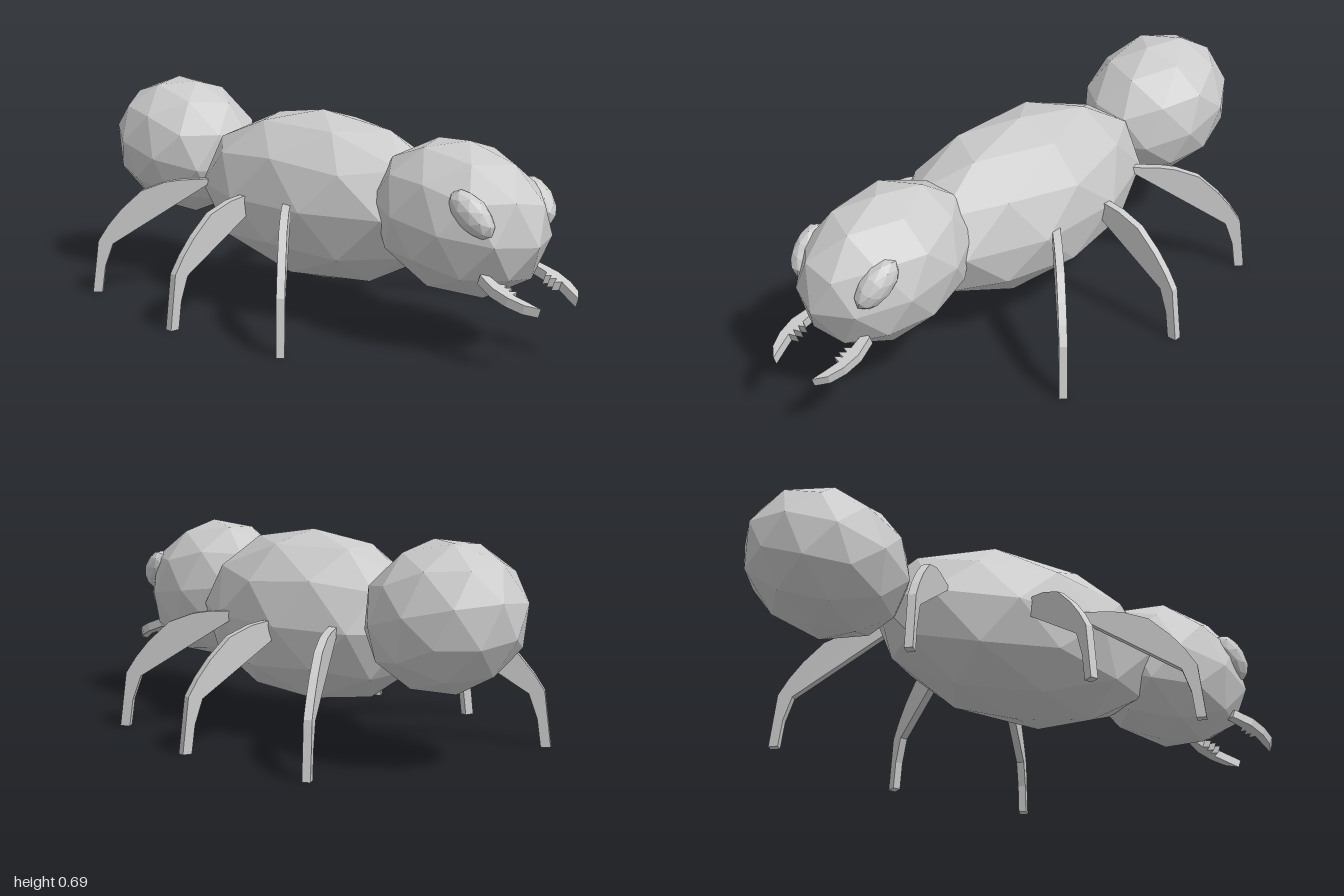
import * as THREE from 'three';

const material = new THREE.MeshStandardMaterial({ color: 0xcccccc, flatShading: true });
const deg = THREE.MathUtils.degToRad;

// Faceted ellipsoid with a corner at its top pole
function ellipsoid(name, radii, position, rotation = [0, 0, 0]) {
  const geometry = new THREE.IcosahedronGeometry(1, 1);
  geometry.rotateX(-Math.atan((1 + Math.sqrt(5)) / 2));
  geometry.rotateY(Math.PI / 2);
  geometry.scale(...radii);
  const mesh = new THREE.Mesh(geometry, material);
  mesh.name = name;
  mesh.position.set(...position);
  mesh.rotation.set(...rotation.map(deg));
  return mesh;
}

// Flat plate cut from an outline, centred on its thickness
function plate(name, points, depth) {
  const shape = new THREE.Shape(points.map(([x, y]) => new THREE.Vector2(x, y)));
  const geometry = new THREE.ExtrudeGeometry(shape, { depth, bevelEnabled: false });
  geometry.translate(0, 0, -depth / 2);
  const mesh = new THREE.Mesh(geometry, material);
  mesh.name = name;
  return mesh;
}

// Leg outline: distance from the root, height above ground
const LEG = [
  [0, 0.4], [0.13, 0.393], [0.18, 0.385], [0.26, 0.355], [0.33, 0.29],
  [0.375, 0.235], [0.41, 0.18], [0.432, 0], [0.4, 0], [0.388, 0.09], [0.36, 0.17],
];

// Mandible outline: sideways, forward, with three teeth on the inner edge
const MANDIBLE = [
  [0.1, 0], [0.13, 0], [0.148, 0.07], [0.142, 0.13], [0.122, 0.18], [0.085, 0.213],
  [0.1, 0.16], [0.111, 0.12], [0.083, 0.113], [0.11, 0.1], [0.083, 0.093],
  [0.108, 0.08], [0.086, 0.073], [0.107, 0.06],
];

export function createModel() {
  const model = new THREE.Group();
  model.name = 'ant';

  // Body segments
  model.add(ellipsoid('thorax', [0.28, 0.283, 0.53], [0, 0.378, -0.01]));
  model.add(ellipsoid('head', [0.222, 0.243, 0.32], [0, 0.4, 0.605], [8, 0, 0]));
  model.add(ellipsoid('abdomen', [0.235, 0.235, 0.282], [0, 0.457, -0.722], [14, 0, 0]));

  for (const [side, s] of [['left', 1], ['right', -1]]) {
    // Eyes
    model.add(ellipsoid(side + 'Eye', [0.046, 0.052, 0.09], [s * 0.148, 0.457, 0.785], [42, s * -10, 0]));

    // Mandibles, sloping down to the front
    const mandible = plate(side + 'Mandible', MANDIBLE.map(([x, y]) => [s * x, y]), 0.03);
    mandible.rotation.x = deg(110);
    mandible.position.set(0, 0.26, 0.8);
    model.add(mandible);
  }

  // Legs: name, root x, root z, turn about the vertical
  const legs = [
    ['leftFrontLeg', 0.215, 0.06, -45],
    ['leftMiddleLeg', 0.145, -0.14, 0],
    ['leftRearLeg', 0.15, -0.36, 45],
    ['rightFrontLeg', -0.215, 0.05, 225],
    ['rightMiddleLeg', -0.145, -0.115, 180],
    ['rightRearLeg', -0.15, -0.375, 135],
  ];
  for (const [name, x, z, turn] of legs) {
    const leg = plate(name, LEG, 0.026);
    leg.position.set(x, 0, z);
    leg.rotation.y = deg(turn);
    model.add(leg);
  }
  return model;
}
